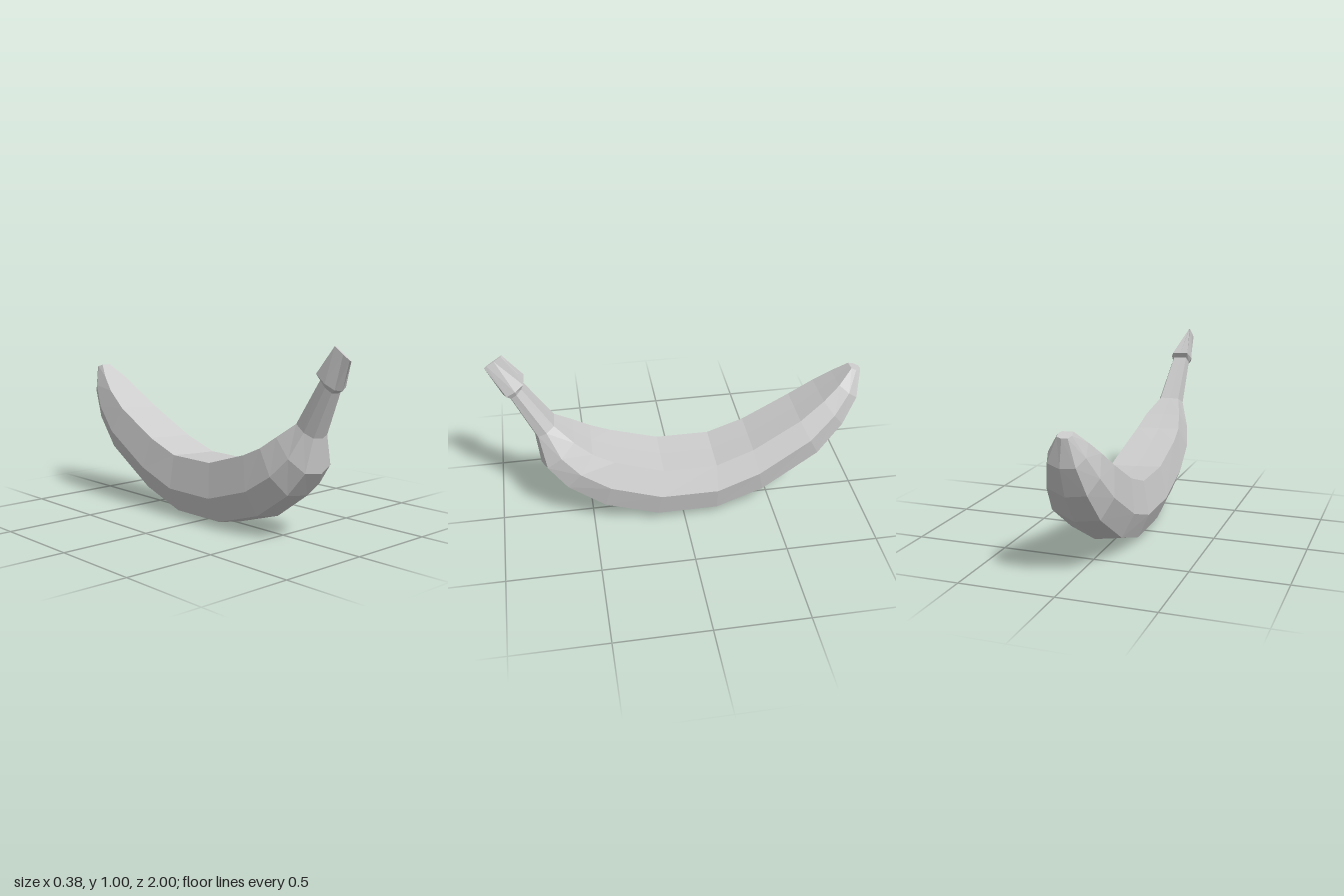
import * as THREE from 'three';

// Eight-sided cross-section: [sideways offset, 0 = outer curve .. 1 = inner curve]
const SECTION = [
  [0.13, 0.95], [0.19, 0.56], [0.16, 0.16], [0.02, 0],
  [-0.13, 0.07], [-0.19, 0.46], [-0.16, 1], [-0.02, 0.97],
];

// Rings: [inner z, inner y, outer z, outer y, width scale, x offset]
const NECK_BASE = [0.67, 0.61, 0.78, 0.545, 0.38, -0.035];
const NECK_TOP = [0.82, 0.835, 0.89, 0.775, 0.26, -0.057];
const BODY = [
  [-0.94, 0.775, -1.0, 0.755, 0.19, -0.052],
  [-0.86, 0.71, -0.985, 0.61, 0.5, -0.04],
  [-0.77, 0.64, -0.91, 0.455, 0.71, -0.035],
  [-0.64, 0.55, -0.77, 0.29, 0.87, -0.025],
  [-0.38, 0.41, -0.45, 0.09, 0.96, -0.007],
  [-0.18, 0.34, -0.18, 0, 1, 0],
  [0.11, 0.34, 0.16, 0, 1, 0],
  [0.37, 0.42, 0.45, 0.09, 0.96, -0.007],
  [0.48, 0.47, 0.66, 0.237, 0.87, -0.015],
  [0.57, 0.535, 0.76, 0.365, 0.7, -0.02],
  NECK_BASE,
];
const STEM = [NECK_BASE, NECK_TOP];
const STEM_END = [
  NECK_TOP,
  [0.805, 0.865, 0.92, 0.79, 0.32, -0.06],
  [0.905, 1.0, 1.0, 0.935, 0.03, -0.093],
];

// Skin a row of rings, closing the back and/or front end when asked
function loft(name, rings, capBack, capFront, material) {
  const n = SECTION.length;
  const positions = [];
  const index = [];
  for (const [iz, iy, oz, oy, scale, dx] of rings) {
    for (const [u, v] of SECTION) {
      positions.push(dx + u * scale, oy + (iy - oy) * v, oz + (iz - oz) * v);
    }
  }
  for (let i = 0; i < rings.length - 1; i++) {
    for (let j = 0; j < n; j++) {
      const k = (j + 1) % n;
      const a = i * n + j, b = i * n + k, c = b + n, d = a + n;
      index.push(a, d, c, a, c, b);
    }
  }
  const last = (rings.length - 1) * n;
  for (let j = 1; j < n - 1; j++) {
    if (capBack) index.push(0, j, j + 1);
    if (capFront) index.push(last, last + j + 1, last + j);
  }
  const indexed = new THREE.BufferGeometry();
  indexed.setAttribute('position', new THREE.Float32BufferAttribute(positions, 3));
  indexed.setIndex(index);
  const geometry = indexed.toNonIndexed();
  geometry.computeVertexNormals();
  const mesh = new THREE.Mesh(geometry, material);
  mesh.name = name;
  return mesh;
}

export function createModel() {
  const group = new THREE.Group();
  group.name = 'banana';
  const material = new THREE.MeshStandardMaterial({ color: 0xcccccc, flatShading: true });
  group.add(
    loft('body', BODY, true, false, material),
    loft('stem', STEM, false, false, material),
    loft('stemEnd', STEM_END, false, true, material),
  );
  return group;
}
